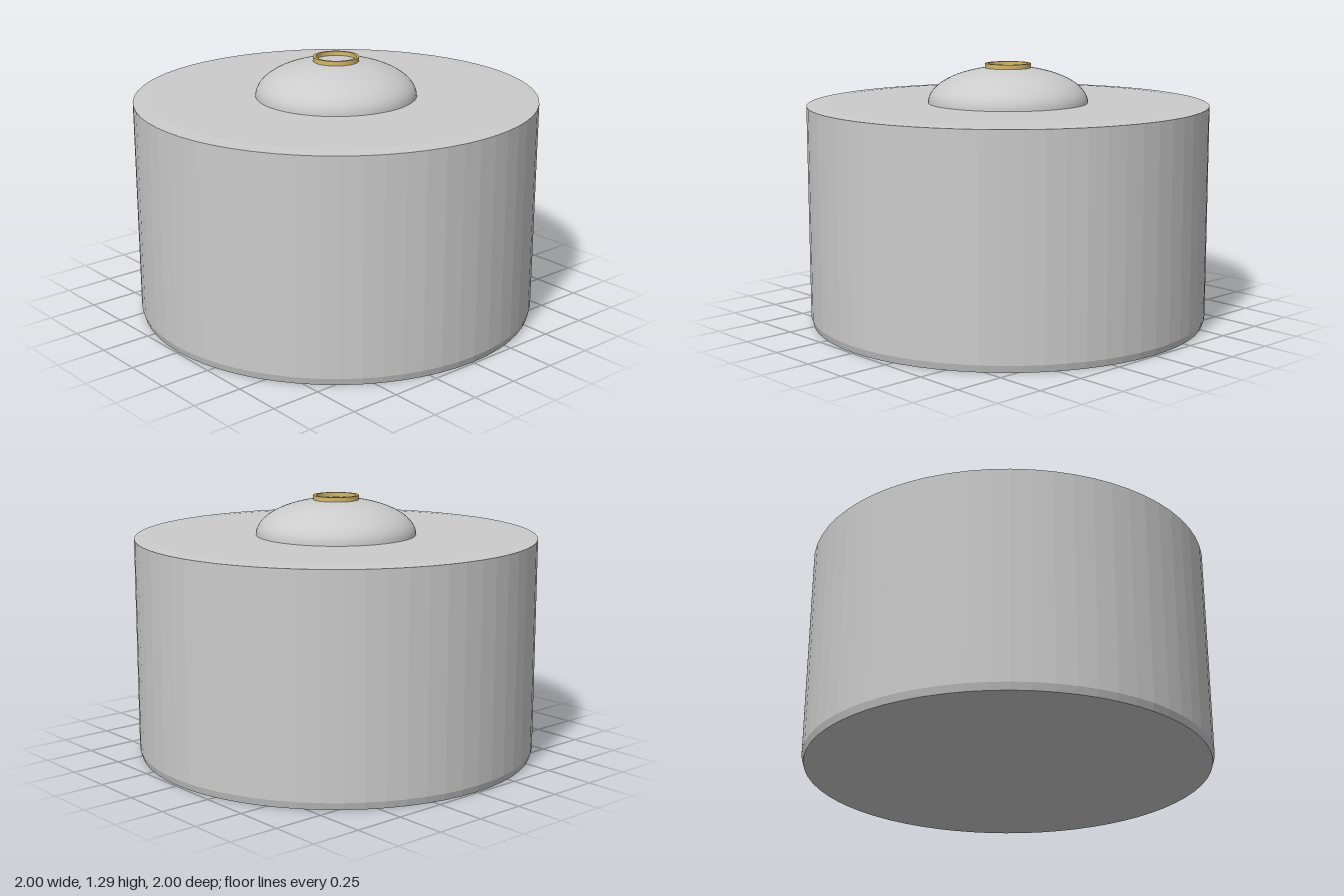
import * as THREE from 'three';

const grey = (options = {}) => new THREE.MeshStandardMaterial({ color: 0xcccccc, ...options });

// Revolve a [radius, height] profile, listed from bottom to top
function lathe(name, profile, segments, material) {
  const points = profile.map(([r, y]) => new THREE.Vector2(r, y));
  const mesh = new THREE.Mesh(new THREE.LatheGeometry(points, segments), material);
  mesh.name = name;
  return mesh;
}

export function createModel() {
  const model = new THREE.Group();
  model.name = 'domedDrum';

  // Faceted drum: closed base, slight foot chamfer, gently bevelled rim and flat top
  model.add(lathe('drum', [
    [0, 0], [0.99, 0], [1, 0.035], [1, 1.095], [0.92, 1.1], [0, 1.1],
  ], 64, grey({ flatShading: true })));

  // Smooth flattened dome, a half ellipse in section
  const steps = 20;
  const domeProfile = [];
  for (let i = 0; i <= steps; i++) {
    const a = (i / steps) * Math.PI / 2;
    domeProfile.push([0.4 * Math.cos(a), 1.1 + 0.18 * Math.sin(a)]);
  }
  model.add(lathe('dome', domeProfile, 64, grey()));

  // Thin gold collar round the crown of the dome
  const gold = new THREE.MeshStandardMaterial({ color: 0xd4b86a, flatShading: true });
  model.add(lathe('collar', [
    [0.1, 1.27], [0.114, 1.27], [0.114, 1.295], [0.1, 1.295], [0.1, 1.27],
  ], 48, gold));

  return model;
}
